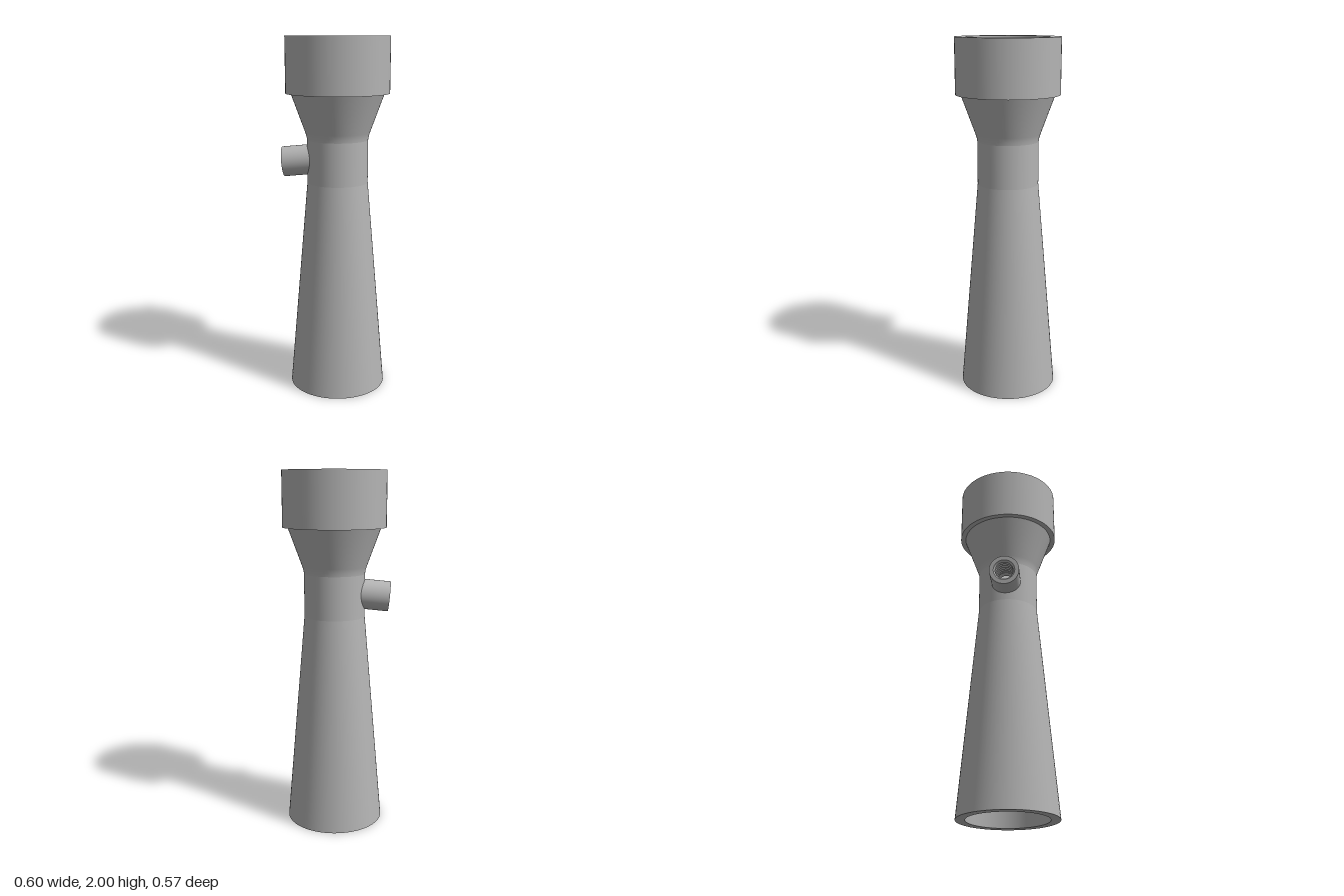
import * as THREE from 'three';
import { toCreasedNormals } from 'three/addons/utils/BufferGeometryUtils.js';

const SEG = 64;                    // sides of the main body
const WIN = 12;                    // body sides taken by the port window
const HALF = (WIN / 2) * (2 * Math.PI / SEG);
const OUT = 0.17, IN = 0.121;      // throat radii
const Y0 = 1.2, Y1 = 1.44;         // throat heights
const BORE = 0.05;                 // port bore radius
const TILT = THREE.MathUtils.degToRad(5.5);
const TIP_X = -0.3055, TIP_Y = 1.3125;
const portY = (x) => TIP_Y + Math.tan(TILT) * (x - TIP_X);

export function createModel() {
  const grey = new THREE.MeshStandardMaterial({ color: 0xb4b4b4 });
  grey.name = 'grey';
  const model = new THREE.Group();
  model.name = 'venturiTube';
  model.position.x = 0.012;

  const add = (name, geometry, parent) => {
    const mesh = new THREE.Mesh(geometry, grey);
    mesh.name = name;
    parent.add(mesh);
    return mesh;
  };
  const vec = (pts) => pts.map(([r, y]) => new THREE.Vector2(r, y));
  const lathe = (name, pts, parent = body, ...arc) =>
    add(name, new THREE.LatheGeometry(vec(pts), ...(arc.length ? arc : [SEG])), parent);

  // Main body: rising profiles face outward, falling ones face inward
  const body = new THREE.Group();
  body.name = 'body';
  model.add(body);
  lathe('outerDiffuser', [[0.274, 0], [OUT, Y0]]);
  lathe('outerFunnel', [[OUT, Y1], [0.173, 1.46], [0.18, 1.482], [0.258, 1.695]]);
  lathe('collarUnderside', [[0.258, 1.695], [0.287, 1.695]]);
  lathe('collar', [[0.287, 1.695], [0.287, 2]]);
  lathe('topRim', [[0.287, 2], [0.229, 2]]);
  lathe('socket', [[0.229, 2], [0.229, 1.7]]);
  lathe('innerFunnel', [[0.229, 1.7], [0.135, 1.48], [0.125, 1.46], [IN, Y1]]);
  lathe('innerDiffuser', [[IN, Y0], [0.222, 0]]);
  lathe('bottomRim', [[0.222, 0], [0.274, 0]]);

  // Throat walls, leaving a window on the right where the port enters
  const arc = [SEG - WIN, 1.5 * Math.PI + HALF, 2 * Math.PI - 2 * HALF];
  lathe('outerThroat', [[OUT, Y0], [OUT, Y1]], body, ...arc);
  lathe('innerThroat', [[IN, Y1], [IN, Y0]], body, ...arc);
  add('outerPortWall', windowPatch(OUT, 1), body);
  add('innerPortWall', windowPatch(IN, -1), body);

  // Side port, with y running outward along its axis
  const port = new THREE.Group();
  port.name = 'sidePort';
  model.add(port);
  const startX = -0.145;
  const along = (x) => (startX - x) / Math.cos(TILT);
  const tip = along(TIP_X), bottom = along(-0.15);
  const place = (mesh) => {
    mesh.geometry.rotateZ(Math.PI / 2 + TILT);
    mesh.geometry.translate(startX, portY(startX), 0);
    return mesh;
  };
  place(lathe('portSleeve', [[0.084, 0], [0.084, tip]], port, 48));
  place(lathe('portRim', [[0.084, tip], [0.06, tip]], port, 48));

  // Threaded bore
  const thread = [], turns = 7, pitch = (tip - bottom) / turns;
  for (let i = 0; i < turns; i++) {
    thread.push([0.06, tip - i * pitch], [BORE, tip - (i + 0.5) * pitch]);
  }
  thread.push([BORE, bottom], [BORE, along(-0.11)]);
  const boreGeometry = new THREE.LatheGeometry(vec(thread), 48);
  const bore = place(add('portThread', toCreasedNormals(boreGeometry, 0.5), port));

  // Trim the bore's inner end to the throat wall
  const p = bore.geometry.attributes.position;
  for (let i = 0; i < p.count; i++) {
    if (p.getX(i) < -0.125) continue;
    const x = -Math.sqrt(IN * IN - p.getZ(i) ** 2);
    p.setY(i, p.getY(i) + Math.tan(TILT) * (x - p.getX(i)));
    p.setX(i, x);
  }
  return model;
}

// Curved wall piece with a round hole; side 1 faces outward, -1 inward
function windowPatch(radius, side) {
  const n = WIN * 4, rows = 4;
  const corners = [[-1, -1], [1, -1], [1, 1], [-1, 1]];
  const position = [], normal = [], index = [];
  for (let j = 0; j <= rows; j++) {
    for (let i = 0; i <= n; i++) {
      // Point on the hole
      const a = -0.75 * Math.PI + (i / n) * 2 * Math.PI;
      const z = BORE * Math.cos(a);
      const holeY = portY(-Math.sqrt(radius * radius - z * z)) + BORE * Math.sin(a);
      // Point on the window edge
      const k = Math.floor(i / WIN), t = (i % WIN) / WIN;
      const c = corners[k % 4], d = corners[(k + 1) % 4];
      const edgeAngle = HALF * THREE.MathUtils.lerp(c[0], d[0], t);
      const edgeY = (Y0 + Y1) / 2 + (Y1 - Y0) / 2 * THREE.MathUtils.lerp(c[1], d[1], t);
      // Blend, then wrap round the throat
      const angle = THREE.MathUtils.lerp(Math.asin(z / radius), edgeAngle, j / rows);
      const y = THREE.MathUtils.lerp(holeY, edgeY, j / rows);
      const nx = -Math.cos(angle), nz = Math.sin(angle);
      position.push(radius * nx, y, radius * nz);
      normal.push(side * nx, 0, side * nz);
      if (i < n && j < rows) {
        const q = j * (n + 1) + i, r = q + n + 1;
        if (side > 0) index.push(q, r, r + 1, q, r + 1, q + 1);
        else index.push(q, r + 1, r, q, q + 1, r + 1);
      }
    }
  }
  const g = new THREE.BufferGeometry();
  g.setAttribute('position', new THREE.Float32BufferAttribute(position, 3));
  g.setAttribute('normal', new THREE.Float32BufferAttribute(normal, 3));
  g.setIndex(index);
  return g;
}
